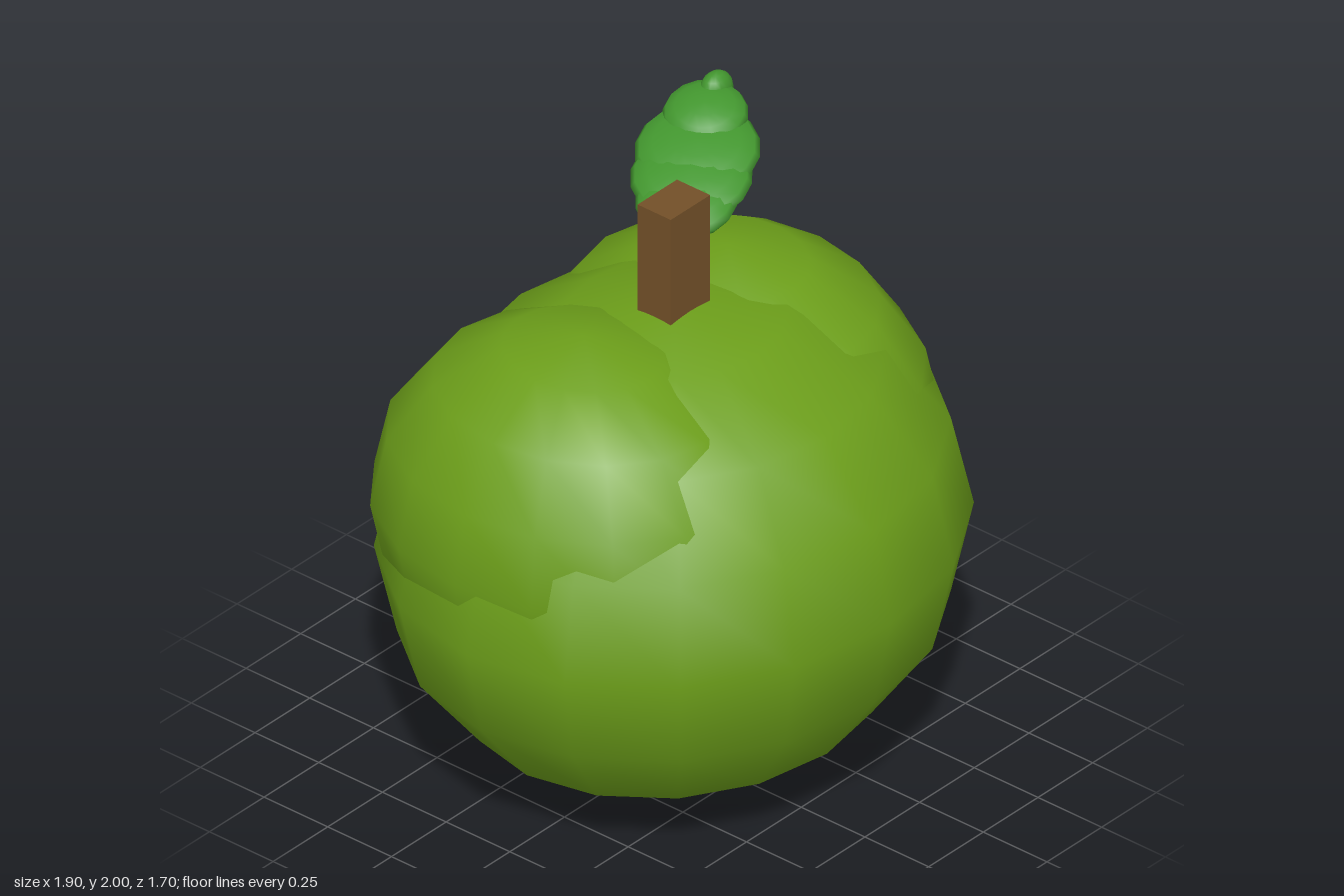
import * as THREE from 'three';

const skin = new THREE.MeshStandardMaterial({ color: 0x6c9e1a });
const bark = new THREE.MeshStandardMaterial({ color: 0x735028 });
const green = new THREE.MeshStandardMaterial({ color: 0x42962e });

// Ellipsoid with 16 sides and 8 rings, smooth shaded
function ellipsoid(name, material, radii, position) {
  const mesh = new THREE.Mesh(new THREE.SphereGeometry(1, 16, 8), material);
  mesh.name = name;
  mesh.scale.set(...radii);
  mesh.position.set(...position);
  return mesh;
}

export function createModel() {
  const model = new THREE.Group();
  model.name = 'apple';

  // Fruit: one large body and two mirrored upper lobes
  model.add(ellipsoid('body', skin, [0.95, 0.795, 0.85], [0, 0.8, 0]));
  for (const side of [1, -1]) {
    model.add(ellipsoid(side > 0 ? 'leftLobe' : 'rightLobe', skin,
      [0.59, 0.6, 0.68], [side * 0.33, 1.0, -0.07]));
  }

  // Square stem, sunk into the hollow between the lobes
  const stem = new THREE.Mesh(new THREE.BoxGeometry(0.18, 0.5, 0.13), bark);
  stem.name = 'stem';
  stem.position.set(0, 1.7, 0);
  model.add(stem);

  // Leaf: overlapping tilted discs stacked along a rising line
  const leaf = new THREE.Group();
  leaf.name = 'leaf';
  const discs = [ // x, y, z, radius
    [0.09, 1.725, -0.07, 0.055],
    [0.14, 1.755, -0.10, 0.105],
    [0.22, 1.785, -0.14, 0.155],
    [0.29, 1.815, -0.18, 0.185],
    [0.37, 1.85, -0.225, 0.19],
    [0.47, 1.905, -0.28, 0.13],
  ];
  for (const [x, y, z, r] of discs) {
    const disc = ellipsoid('leafSegment', green, [r, 0.055, r], [x, y, z]);
    disc.rotation.set(0, 0.5, 0.27, 'YZX');
    leaf.add(disc);
  }
  leaf.add(ellipsoid('leafTip', green, [0.06, 0.06, 0.045], [0.555, 1.94, -0.31]));
  model.add(leaf);

  return model;
}
